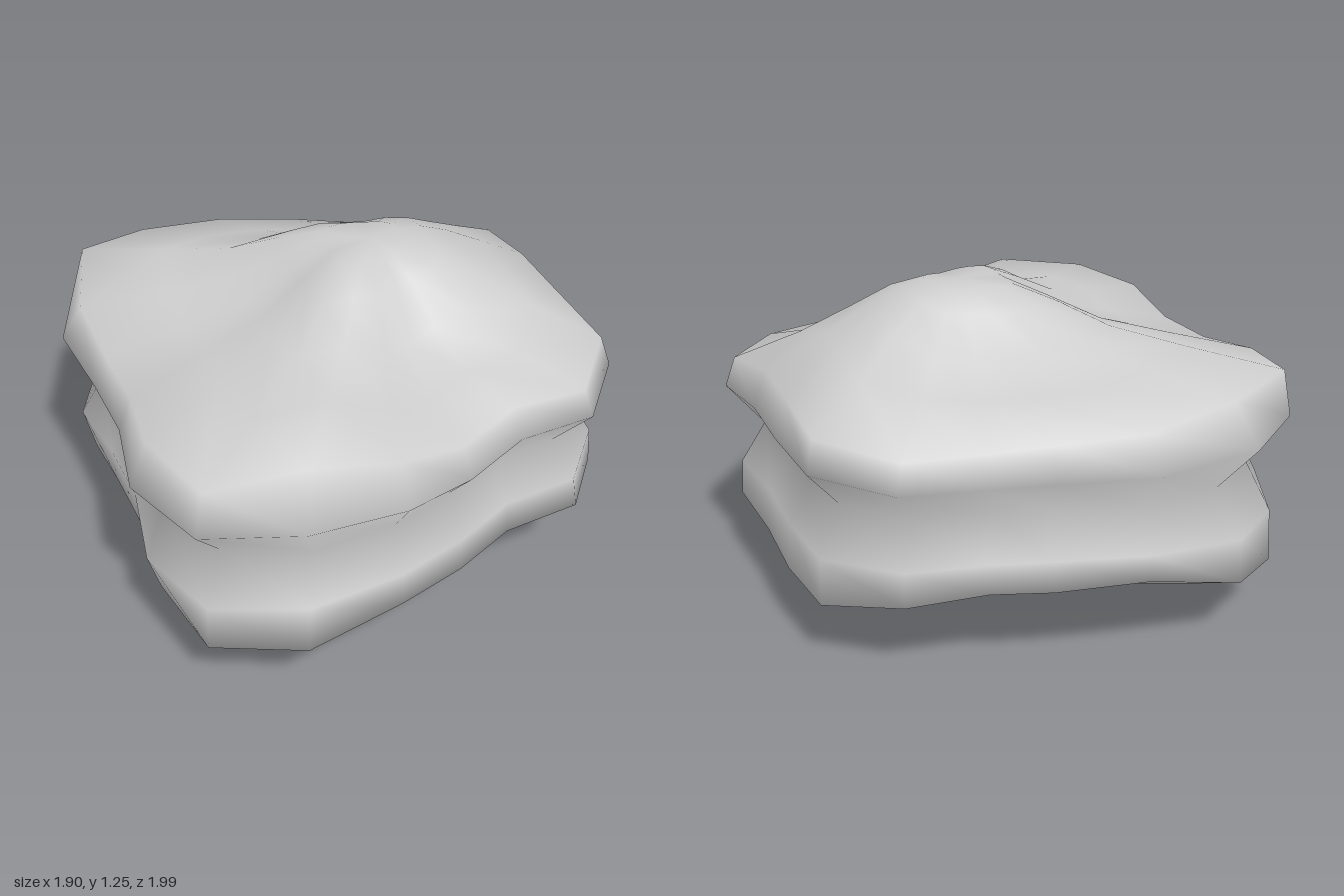
import * as THREE from 'three';

// Plan outline, clockwise from above: x, z, upper rim height and scale, lower rim height and scale
const OUTLINE = [
  [-0.52, -0.99, 0.97, 0.91, 0.28, 0.97], [-0.13, -1.0, 0.93, 0.93, 0.38, 0.96],
  [0.2, -0.88, 0.91, 0.95, 0.36, 0.97], [0.42, -0.8, 0.89, 0.95, 0.36, 0.96],
  [0.71, -0.71, 0.88, 0.96, 0.33, 0.96], [0.93, -0.45, 0.91, 0.97, 0.27, 0.97],
  [0.945, -0.15, 0.95, 0.95, 0.28, 0.98], [0.93, 0.15, 0.95, 0.95, 0.3, 0.98],
  [0.95, 0.47, 0.9, 0.96, 0.32, 0.97], [0.72, 0.73, 0.88, 0.96, 0.35, 0.98],
  [0.41, 0.76, 0.9, 0.95, 0.34, 0.97], [0.15, 0.88, 0.88, 0.94, 0.34, 0.97],
  [-0.13, 0.97, 0.93, 0.91, 0.36, 0.98], [-0.5, 0.99, 1.0, 0.88, 0.31, 1.0],
  [-0.83, 0.84, 0.95, 0.95, 0.28, 0.97], [-0.95, 0.5, 0.94, 0.92, 0.28, 0.91],
  [-0.89, 0.15, 0.9, 0.94, 0.33, 0.95], [-0.9, -0.15, 0.9, 0.94, 0.33, 0.95],
  [-0.935, -0.48, 0.95, 0.92, 0.28, 0.92], [-0.78, -0.81, 1.0, 0.97, 0.23, 0.97],
];
const PEAK = [0.16, 1.25, -0.02];
const BASE = [0.21, 0, -0.14];
const lerp = THREE.MathUtils.lerp;

// Dome rings: outline scale, then progress towards the pole at -x, +z, +x and -z
const TOP = [
  [0.16, 0.97, 0.97, 1.0, 0.99], [0.3, 0.73, 0.78, 0.95, 0.82],
  [0.47, 0.45, 0.36, 0.77, 0.43], [0.7, 0.25, 0.06, 0.44, 0.21],
];
const BOTTOM = [
  [0.7, 0.24, 0.38, 0.36, 0.3], [0.46, 0.47, 0.63, 0.64, 0.42], [0.24, 0.82, 0.87, 0.87, 0.64],
];

// A ring that shrinks the rim towards a pole, with a different slope on each side
function domeRing([s, left, front, right, back], pole, column) {
  return OUTLINE.map((p) => {
    const dx = p[0] - pole[0], dz = p[1] - pole[2];
    const weight = (dx * dx) / (dx * dx + dz * dz);
    const progress = lerp(dz > 0 ? front : back, dx > 0 ? right : left, weight);
    const rim = p[column + 1];
    return [
      lerp(pole[0], p[0] * rim, s),
      lerp(p[column], pole[1], progress),
      lerp(pole[2], p[1] * rim, s),
    ];
  });
}

// A ring around the sides: one scale, and a height for each outline point
const sideRing = (scale, height) => OUTLINE.map((p) => [p[0] * scale, height(p), p[1] * scale]);

// A rim ring, read from the outline
const rimRing = (column) => OUTLINE.map((p) => [p[0] * p[column + 1], p[column], p[1] * p[column + 1]]);

function rockGeometry() {
  const rings = [
    ...TOP.map((r) => domeRing(r, PEAK, 2)),
    rimRing(2),                                        // upper rim
    sideRing(1, (p) => 0.8 + (p[2] - 0.94) * 0.45),    // upper bulge
    sideRing(0.865, () => 0.63),                       // waist groove
    sideRing(0.96, (p) => 0.46 + (p[4] - 0.31) * 0.3), // lower bulge
    rimRing(4),                                        // lower rim
    ...BOTTOM.map((r) => domeRing(r, BASE, 4)),
  ];
  const n = OUTLINE.length;
  const points = [PEAK, ...rings.flat(), BASE];
  const last = points.length - 1;
  const at = (r, i) => 1 + r * n + (i % n);
  const index = [];
  for (let i = 0; i < n; i++) {
    index.push(0, at(0, i + 1), at(0, i));
    for (let r = 0; r < rings.length - 1; r++) {
      const a = at(r, i), b = at(r, i + 1), c = at(r + 1, i), d = at(r + 1, i + 1);
      index.push(a, b, c, b, d, c);
    }
    index.push(at(rings.length - 1, i), at(rings.length - 1, i + 1), last);
  }
  const geometry = new THREE.BufferGeometry();
  geometry.setAttribute('position', new THREE.Float32BufferAttribute(points.flat(), 3));
  geometry.setIndex(index);
  geometry.computeVertexNormals();
  return geometry;
}

export function createModel() {
  const group = new THREE.Group();
  group.name = 'rock';
  const stone = new THREE.MeshStandardMaterial({ color: 0xcccccc });
  stone.name = 'grey stone';
  const body = new THREE.Mesh(rockGeometry(), stone);
  body.name = 'boulder';
  group.add(body);
  return group;
}
